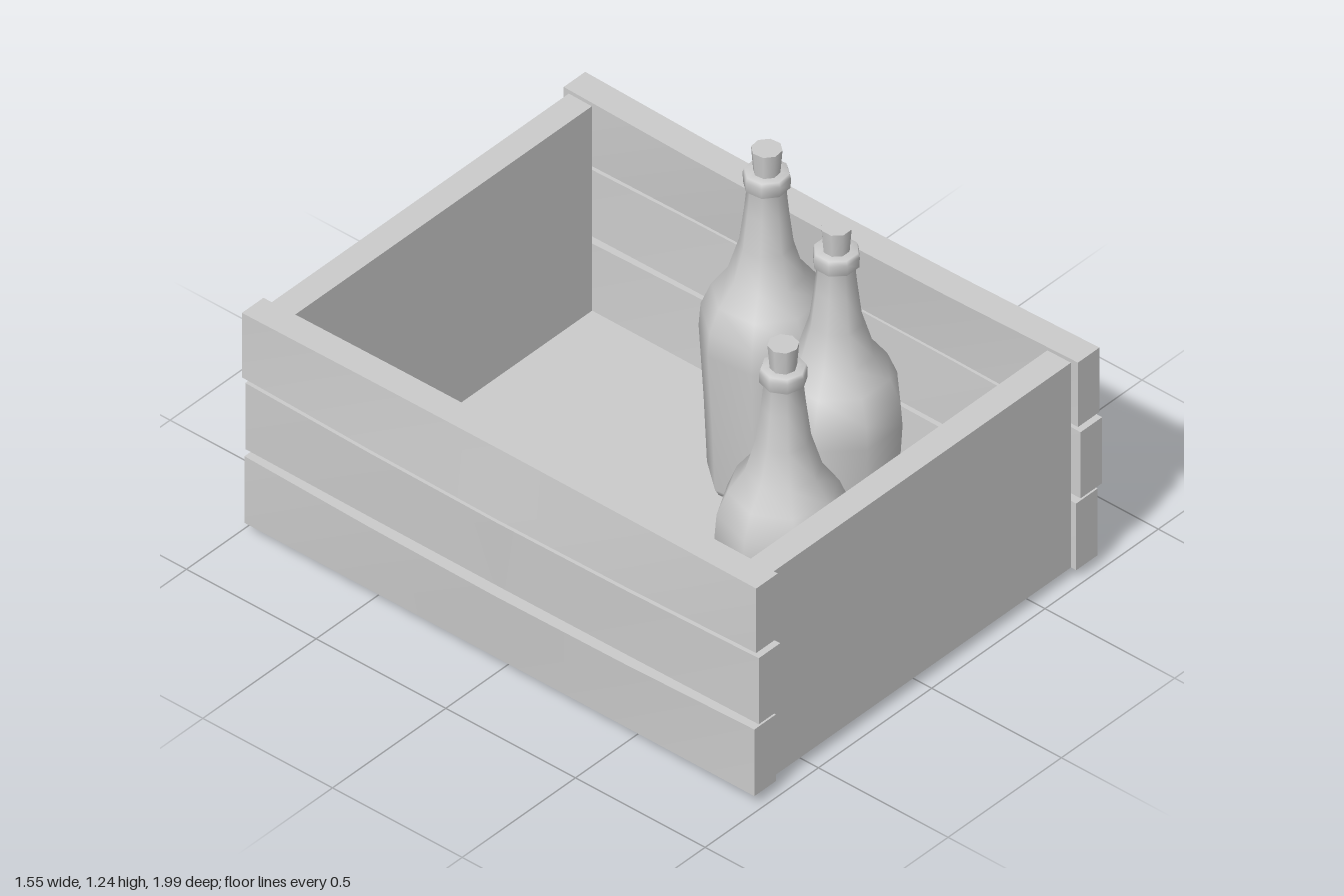
import * as THREE from 'three';

const material = new THREE.MeshStandardMaterial({ color: 0xcccccc });

function addMesh(parent, name, geometry, x = 0, y = 0, z = 0) {
  const mesh = new THREE.Mesh(geometry, material);
  mesh.name = name;
  mesh.position.set(x, y, z);
  parent.add(mesh);
  return mesh;
}

// Plain board given by its limits on each axis
function addBoard(parent, name, [x0, x1], [y0, y1], [z0, z1]) {
  return addMesh(parent, name, new THREE.BoxGeometry(x1 - x0, y1 - y0, z1 - z0),
    (x0 + x1) / 2, (y0 + y1) / 2, (z0 + z1) / 2);
}

// Slightly warped side slat: its middle leans outward by different amounts at top and bottom
function addSlat(parent, name, side, { y, z, top, bottom, sag }) {
  const h = y[1] - y[0], d = z[1] - z[0];
  const geo = new THREE.BoxGeometry(0.095, h, d, 1, 1, 4);
  const p = geo.attributes.position;
  for (let i = 0; i < p.count; i++) {
    const bow = Math.cos((p.getZ(i) / d) * Math.PI);
    const upper = p.getY(i) > 0;
    p.setX(i, p.getX(i) + side * bow * (upper ? top : bottom));
    p.setY(i, p.getY(i) - bow * sag);
  }
  geo.computeVertexNormals();
  addMesh(parent, name, geo, side * 0.71, (y[0] + y[1]) / 2, (z[0] + z[1]) / 2);
}

// Eight-sided bottle with a smooth profile and a tapered cork
function addBottle(parent, x, z, turn) {
  const bottle = new THREE.Group();
  bottle.name = 'bottle';
  bottle.position.set(x, 0, z);
  bottle.rotation.y = THREE.MathUtils.degToRad(turn);
  const profile = [
    [0, 0.036], [0.165, 0.036], [0.178, 0.06], [0.188, 0.3], [0.203, 0.56],
    [0.197, 0.64], [0.165, 0.72], [0.115, 0.79], [0.082, 0.9], [0.067, 1.02], [0.059, 1.1],
    [0.071, 1.11], [0.072, 1.145], [0.067, 1.16], [0.035, 1.16],
  ].map(([r, y]) => new THREE.Vector2(r, y));
  addMesh(bottle, 'bottleGlass', new THREE.LatheGeometry(profile, 8));
  addMesh(bottle, 'cork', new THREE.CylinderGeometry(0.047, 0.04, 0.09, 8), 0, 1.197, 0);
  parent.add(bottle);
}

export function createModel() {
  const model = new THREE.Group();
  model.name = 'bottleCrate';

  // Floor and end panels
  addBoard(model, 'floor', [-0.665, 0.662], [0, 0.036], [-0.918, 0.928]);
  addBoard(model, 'frontPanel', [-0.665, 0.662], [0.035, 0.788], [0.868, 0.958]);
  addBoard(model, 'backPanel', [-0.665, 0.662], [0.035, 0.788], [-0.978, -0.888]);

  // Three slats on each side
  const slats = [
    { name: 'bottomSlat', y: [0.035, 0.28], z: [-0.988, 0.978], top: 0.018, bottom: -0.003, sag: 0.002 },
    { name: 'middleSlat', y: [0.308, 0.551], z: [-0.985, 0.995], top: 0.016, bottom: 0.004, sag: 0.002 },
    { name: 'topSlat', y: [0.565, 0.802], z: [-0.998, 0.985], top: -0.012, bottom: 0.014, sag: 0.006 },
  ];
  for (const side of [-1, 1]) {
    for (const slat of slats) addSlat(model, (side > 0 ? 'left ' : 'right ') + slat.name, side, slat);
  }

  // Bottles standing on the floor
  addBottle(model, 0.405, 0.01, 28.5);
  addBottle(model, 0.26, 0.405, 22.5);
  addBottle(model, -0.26, 0.655, 6);

  return model;
}
